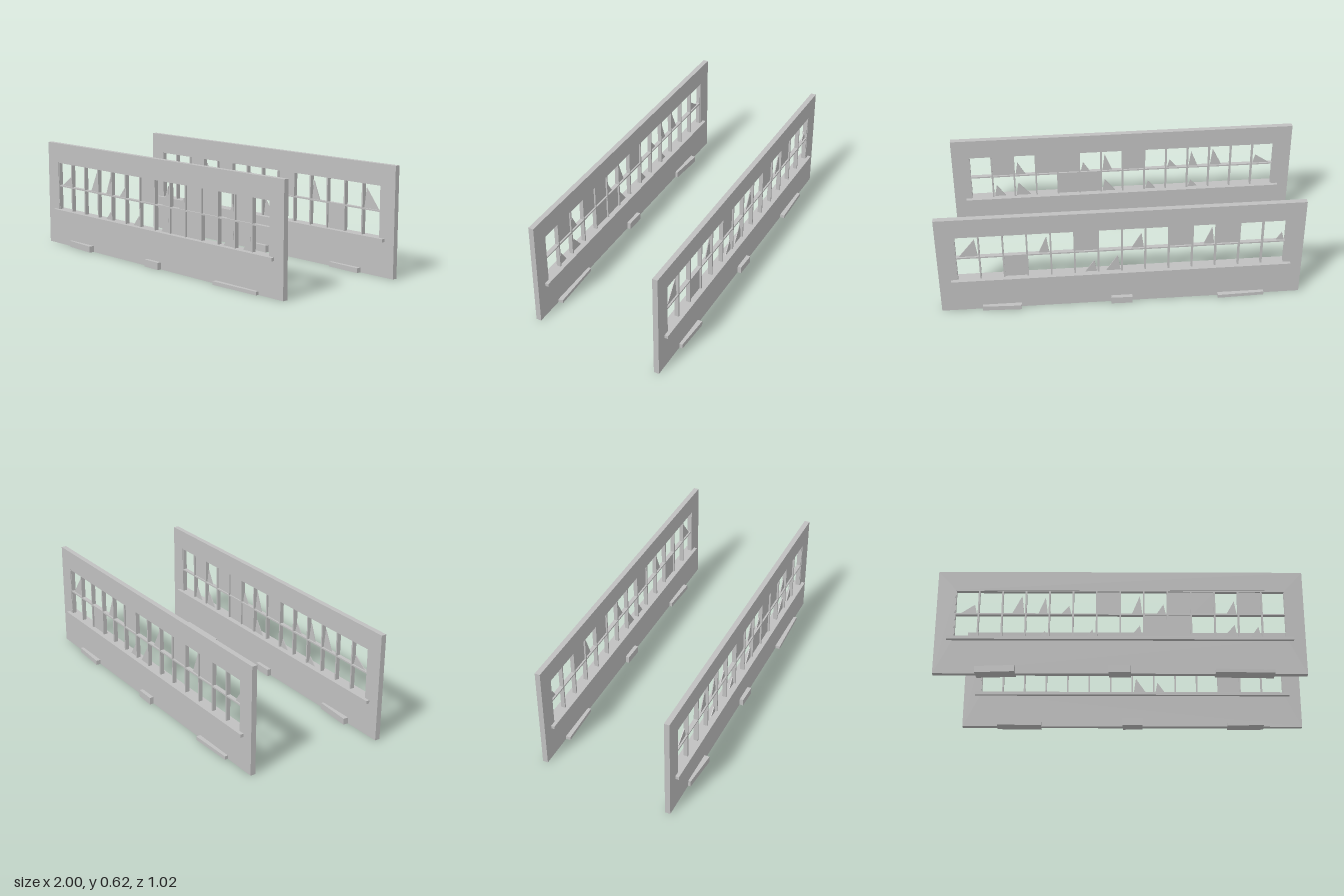
import * as THREE from 'three';

const concrete = new THREE.MeshStandardMaterial({ color: 0xc0c0c0 });
concrete.name = 'pale grey';

const LENGTH = 2.006, HEIGHT = 0.615, DEPTH = 0.03;
const WIN_X = 0.903, WIN_LOW = 0.208, WIN_MID = 0.357, WIN_TOP = 0.502;
const COLUMNS = 14, PITCH = (2 * WIN_X) / COLUMNS;
const YAW = 0.095, OFFSET = 0.384;

function add(parent, name, geometry, x = 0, y = 0, z = 0) {
  const mesh = new THREE.Mesh(geometry, concrete);
  mesh.name = name;
  mesh.position.set(x, y, z);
  parent.add(mesh);
  return mesh;
}

function box(parent, name, w, h, d, x, y, z = 0) {
  return add(parent, name, new THREE.BoxGeometry(w, h, d), x, y, z);
}

// Flat polygon extruded and centred on the middle plane of the wall
function plate(parent, name, shape, depth) {
  const geometry = new THREE.ExtrudeGeometry(shape, { depth, bevelEnabled: false });
  return add(parent, name, geometry, 0, 0, -depth / 2);
}

function polygon(points, Type = THREE.Shape) {
  return new Type(points.map(([x, y]) => new THREE.Vector2(x, y)));
}

// One wall; panes are [column, row], shards are [column, row, width, height]
function buildWall(name, panes, shards, rubble) {
  const wall = new THREE.Group();
  wall.name = name;

  // Slab with a long window opening
  const outline = polygon([[-LENGTH / 2, 0], [LENGTH / 2, 0], [LENGTH / 2, HEIGHT], [-LENGTH / 2, HEIGHT]]);
  outline.holes.push(polygon(
    [[-WIN_X, WIN_LOW], [-WIN_X, WIN_TOP], [WIN_X, WIN_TOP], [WIN_X, WIN_LOW]], THREE.Path));
  plate(wall, 'wallSlab', outline, DEPTH);

  // Sill and window bars
  box(wall, 'sill', 1.876, 0.018, 0.07, 0, 0.204);
  const barHeight = WIN_TOP - WIN_LOW;
  for (let i = 0; i <= COLUMNS; i++) {
    box(wall, 'mullion', 0.009, barHeight, 0.024, -WIN_X + i * PITCH, WIN_LOW + barHeight / 2);
  }
  box(wall, 'crossBar', 2 * WIN_X, 0.008, 0.024, 0, WIN_MID);
  box(wall, 'topBar', 2 * WIN_X, 0.006, 0.024, 0, WIN_TOP - 0.003);

  // Whole panes
  const rows = [[0.213, WIN_MID], [WIN_MID, WIN_TOP]];
  for (const [column, row] of panes) {
    const [low, high] = rows[row];
    box(wall, 'pane', PITCH, high - low, 0.005,
      -WIN_X + (column + 0.5) * PITCH, (low + high) / 2);
  }

  // Broken glass standing in the lower edge of a light
  for (const [column, row, width, height] of shards) {
    const low = rows[row][0];
    const right = -WIN_X + (column + 1) * PITCH - 0.008;
    plate(wall, 'glassShard', polygon(
      [[right - width, low], [right, low], [right - 0.014, low + height]]), 0.005);
  }

  // Rubble blocks along the foot, passing through the slab
  for (const [x, width, height, turn] of rubble) {
    box(wall, 'footBlock', width, height, 0.075, x, height / 2).rotation.y = turn;
  }
  return wall;
}

export function createModel() {
  const model = new THREE.Group();
  model.name = 'windowWalls';

  const front = buildWall('frontWall',
    [[6, 1], [9, 1], [10, 1], [12, 1], [8, 0], [9, 0]],
    [[0, 1, 0.1, 0.06], [2, 1, 0.07, 0.115], [3, 1, 0.055, 0.105], [4, 1, 0.06, 0.055],
      [7, 1, 0.06, 0.115], [8, 1, 0.055, 0.065], [11, 1, 0.06, 0.085],
      [3, 0, 0.055, 0.045], [5, 0, 0.06, 0.055], [7, 0, 0.075, 0.08],
      [11, 0, 0.085, 0.085], [12, 0, 0.065, 0.075]],
    [[-0.668, 0.215, 0.036, -0.07], [-0.002, 0.118, 0.041, -0.02], [0.668, 0.318, 0.019, 0.03]]);
  front.rotation.y = YAW;
  front.position.z = OFFSET;

  const back = buildWall('backWall',
    [[11, 1], [9, 1], [5, 1], [2, 0]],
    [[0, 1, 0.105, 0.115], [3, 1, 0.06, 0.11], [7, 1, 0.07, 0.1], [10, 1, 0.06, 0.115],
      [13, 1, 0.05, 0.055], [5, 0, 0.065, 0.075], [6, 0, 0.08, 0.1]],
    [[-0.668, 0.215, 0.027, -0.04], [-0.002, 0.118, 0.041, -0.02], [0.668, 0.26, 0.02, 0.03]]);
  back.rotation.y = YAW + Math.PI;
  back.position.z = -OFFSET;

  model.add(front, back);
  return model;
}
